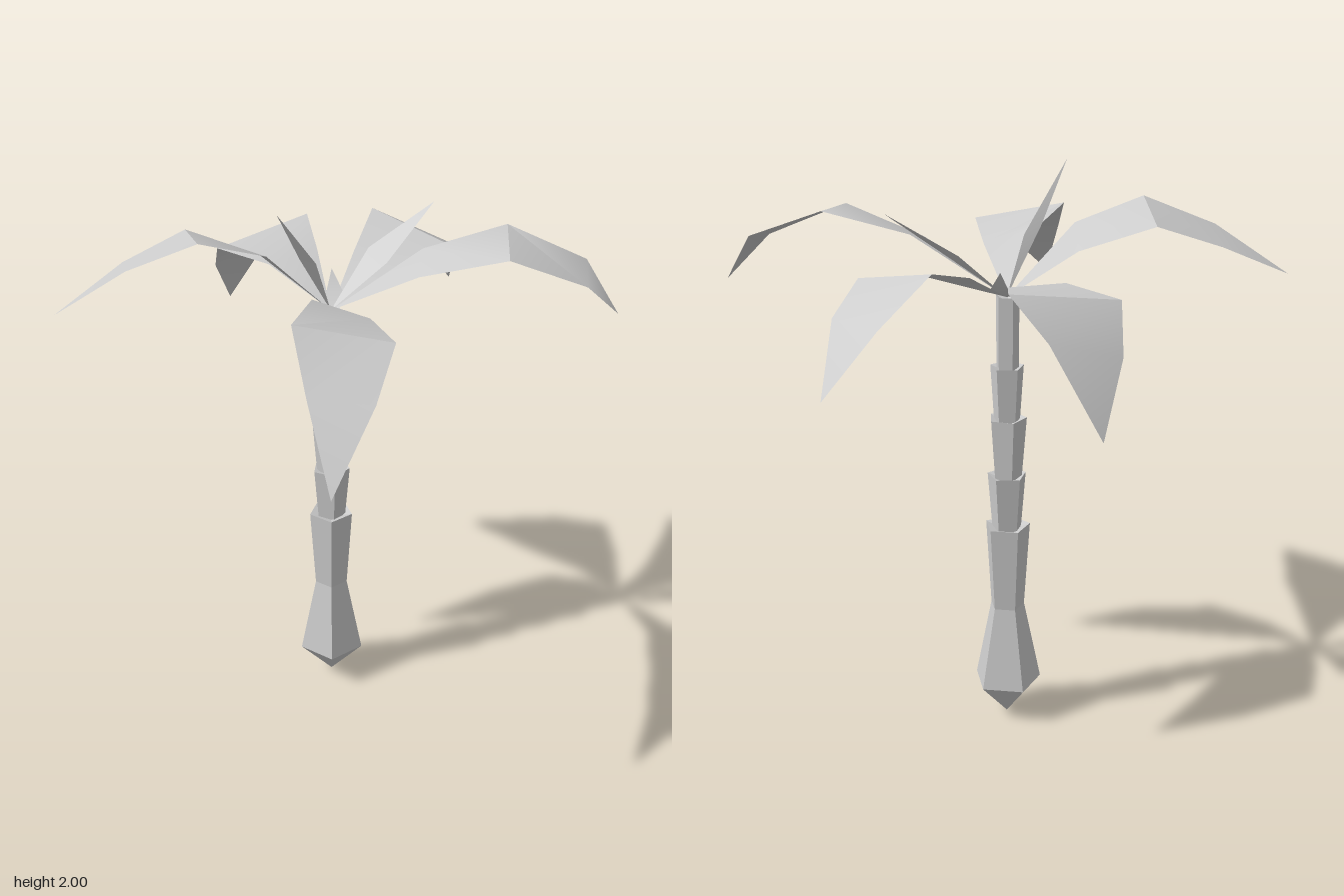
import * as THREE from 'three';
import { toCreasedNormals } from 'three/addons/utils/BufferGeometryUtils.js';

const AXIS = [-0.037, -0.172]; // x and z of the trunk
const ROOT = [-0.035, 1.57, -0.17]; // where the fronds meet

const barkMat = new THREE.MeshStandardMaterial({ color: 0xcccccc, flatShading: true });
const leafMat = new THREE.MeshStandardMaterial({ color: 0xcccccc, side: THREE.DoubleSide });

// Five-sided trunk piece from a [radius, height] profile
function trunkPiece(name, profile, turn) {
  const points = profile.map(([r, y]) => new THREE.Vector2(r, y));
  const mesh = new THREE.Mesh(new THREE.LatheGeometry(points, 5), barkMat);
  mesh.name = name;
  mesh.position.set(AXIS[0], 0, AXIS[1]);
  mesh.rotation.y = turn;
  return mesh;
}

// Thin leaf: root point, pairs of edge points, tip point
function frond(name, pairs, tip) {
  const pos = [...ROOT, ...pairs.flat(2), ...tip];
  const last = pairs.length * 2 + 1;
  const index = [0, 1, 2];
  for (let i = 1; i + 2 < last; i += 2) index.push(i, i + 2, i + 1, i + 1, i + 2, i + 3);
  index.push(last - 2, last, last - 1);
  const geo = new THREE.BufferGeometry();
  geo.setAttribute('position', new THREE.Float32BufferAttribute(pos, 3));
  geo.setIndex(index);
  const mesh = new THREE.Mesh(toCreasedNormals(geo, 0.6), leafMat);
  mesh.name = name;
  return mesh;
}

export function createModel() {
  const tree = new THREE.Group();
  tree.name = 'palmTree';

  // Trunk: pointed flared base, then stacked flaring tiers
  const trunk = new THREE.Group();
  trunk.name = 'trunk';
  trunk.add(trunkPiece('trunkBase',
    [[0, 0], [0.123, 0.135], [0.062, 0.435], [0.082, 0.745], [0, 0.72]], 0));
  const tiers = [
    [0.72, 0.935, 0.052, 0.07, 0.2],
    [0.91, 1.145, 0.05, 0.068, -0.15],
    [1.12, 1.33, 0.046, 0.06, 0.15],
    [1.3, 1.575, 0.04, 0.042, 0],
  ];
  tiers.forEach(([y0, y1, r0, r1, turn], i) => {
    trunk.add(trunkPiece('trunkTier' + (i + 1), [[r0, y0], [r1, y1], [0, y1 - 0.02]], turn));
  });
  tree.add(trunk);

  // Large drooping fronds
  const crown = new THREE.Group();
  crown.name = 'crown';
  crown.add(frond('frontFrond', [
    [[-0.1, 1.745, 0.12], [0.09, 1.68, 0.13]],
    [[-0.165, 1.78, 0.38], [0.16, 1.715, 0.38]],
    [[-0.12, 1.645, 0.61], [0.09, 1.62, 0.61]],
  ], [-0.05, 1.42, 0.83]));
  crown.add(frond('rightFrond', [
    [[-0.28, 1.75, -0.24], [-0.25, 1.81, -0.08]],
    [[-0.53, 1.84, -0.25], [-0.47, 1.89, 0]],
    [[-0.74, 1.76, -0.16], [-0.71, 1.8, 0.01]],
  ], [-0.96, 1.64, 0]));
  crown.add(frond('leftFrond', [
    [[0.26, 1.74, -0.06], [0.28, 1.78, -0.21]],
    [[0.55, 1.83, 0.02], [0.57, 1.855, -0.24]],
    [[0.82, 1.72, -0.01], [0.84, 1.75, -0.18]],
  ], [0.95, 1.58, -0.1]));
  crown.add(frond('backLeftFrond', [
    [[0.2, 1.66, -0.3], [0.05, 1.69, -0.4]],
    [[0.4, 1.69, -0.45], [0.125, 1.76, -0.64]],
    [[0.44, 1.61, -0.64], [0.27, 1.61, -0.76]],
  ], [0.435, 1.4, -0.83]));
  crown.add(frond('backRightFrond', [
    [[-0.08, 1.68, -0.46], [-0.25, 1.67, -0.34]],
    [[-0.115, 1.72, -0.69], [-0.44, 1.665, -0.5]],
    [[-0.25, 1.6, -0.79], [-0.46, 1.53, -0.66]],
  ], [-0.42, 1.32, -0.84]));

  // Young upright leaves in the middle
  crown.add(frond('tallSprout',
    [[[-0.14, 1.8, -0.08], [-0.085, 1.77, -0.11]]], [-0.21, 2, 0.03]));
  crown.add(frond('backSprout',
    [[[0.16, 1.72, -0.23], [0.1, 1.74, -0.32]]], [0.33, 1.885, -0.38]));
  crown.add(frond('smallSprout',
    [[[0.01, 1.61, -0.23], [-0.05, 1.61, -0.23]]], [-0.03, 1.68, -0.28]));
  tree.add(crown);
  return tree;
}
